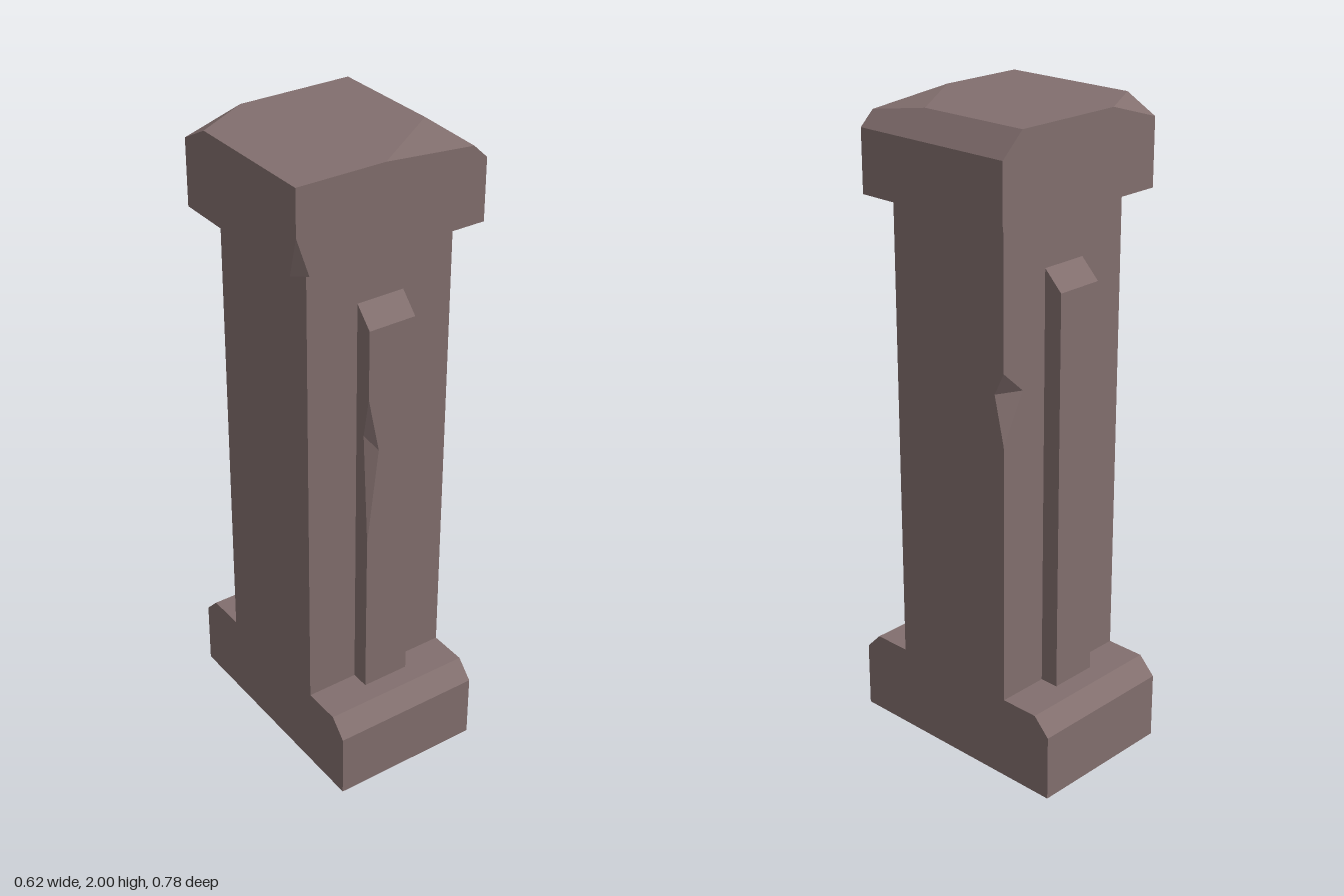
import * as THREE from 'three';
import { ConvexGeometry } from 'three/addons/geometries/ConvexGeometry.js';

const V = (x, y, z) => new THREE.Vector3(x, y, z);

// Flat-faced solid from loops of corners, each fanned from its first corner
function facets(loops) {
  const points = [];
  for (const loop of loops)
    for (let i = 1; i < loop.length - 1; i++) points.push(loop[0], loop[i], loop[i + 1]);
  const geometry = new THREE.BufferGeometry().setFromPoints(points);
  geometry.computeVertexNormals();
  return geometry;
}

// Block with a chip broken out of its +x +z edge; its top slopes from y1 down to lip at +x
function chippedBlock({ x0, x1, h, y0, y1, lip, chipTop, chipBottom, onX, onZ }) {
  const a = V(x1, y0, h), b = V(x1, y0, -h), c = V(x1, lip, -h), d = V(x1, lip, h);
  const e = V(x0, y0, h), f = V(x0, y1, h), g = V(x0, y0, -h), k = V(x0, y1, -h);
  const t = V(x1, chipTop, h), m = V(x1, chipBottom, h);
  const p = V(x1, ...onX), q = V(...onZ, h);
  return facets([
    [p, m, a, b, c, d, t], [q, t, d, f, e, a, m], // chipped sides
    [p, t, q], [m, p, q],                         // the chip
    [b, g, k, c], [g, e, f, k], [d, c, k, f], [g, b, a, e],
  ]);
}

// Profile in (z, y), extruded across x and centred
function acrossX(profile, width) {
  const shape = new THREE.Shape(profile.map(([z, y]) => new THREE.Vector2(z, y)));
  return new THREE.ExtrudeGeometry(shape, { depth: width, bevelEnabled: false })
    .translate(0, 0, -width / 2).rotateY(-Math.PI / 2);
}

export function createModel() {
  const group = new THREE.Group();
  const stone = new THREE.MeshStandardMaterial({ color: 0x826f6e, flatShading: true });
  stone.name = 'stone';
  const add = (name, geometry) => {
    const mesh = new THREE.Mesh(geometry, stone);
    mesh.name = name;
    group.add(mesh);
  };

  // Foot, chamfered front and back
  add('base', acrossX([[-0.393, 0], [0.39, 0], [0.39, 0.21], [0.337, 0.265],
    [-0.34, 0.265], [-0.393, 0.21]], 0.486));

  // Shaft, chipped on the back edge
  add('shaft', chippedBlock({
    x0: -0.215, x1: 0.215, h: 0.243, y0: 0.265, y1: 1.74, lip: 1.74,
    chipTop: 1.31, chipBottom: 1.09, onX: [1.24, 0.166], onZ: [0.18, 1.24],
  }).rotateY(Math.PI / 2));

  // Raised ribs with sloped tops; the front one is chipped
  add('frontRib', chippedBlock({
    x0: 0.215, x1: 0.273, h: 0.077, y0: 0.265, y1: 1.577, lip: 1.517,
    chipTop: 1.3, chipBottom: 0.81, onX: [1.12, 0.04], onZ: [0.25, 1.17],
  }).rotateY(-Math.PI / 2));
  add('backRib', acrossX([[-0.275, 0.265], [-0.215, 0.265], [-0.215, 1.577],
    [-0.275, 1.517]], 0.154));

  // Capstone: a slab with one bevelled edge and three broken corners
  const l = -0.31, r = 0.306, f = 0.271, b = -0.273;
  add('capstone', new ConvexGeometry([
    V(r, 1.74, f), V(r, 1.74, b), V(l, 1.74, b),
    V(r, 1.93, f), V(r, 1.93, b), V(0.232, 2, b),          // bevelled edge
    V(0.232, 2, 0.09), V(-0.03, 2, f), V(0.26, 1.9735, f), // front top corner
    V(-0.13, 2, b), V(l, 2, -0.17), V(l, 1.945, b),        // back top corner
    V(l, 1.86, f), V(-0.27, 1.74, f), V(l, 1.74, 0.24),    // front bottom corner
    V(l, 2, f),
  ]));

  return group;
}
